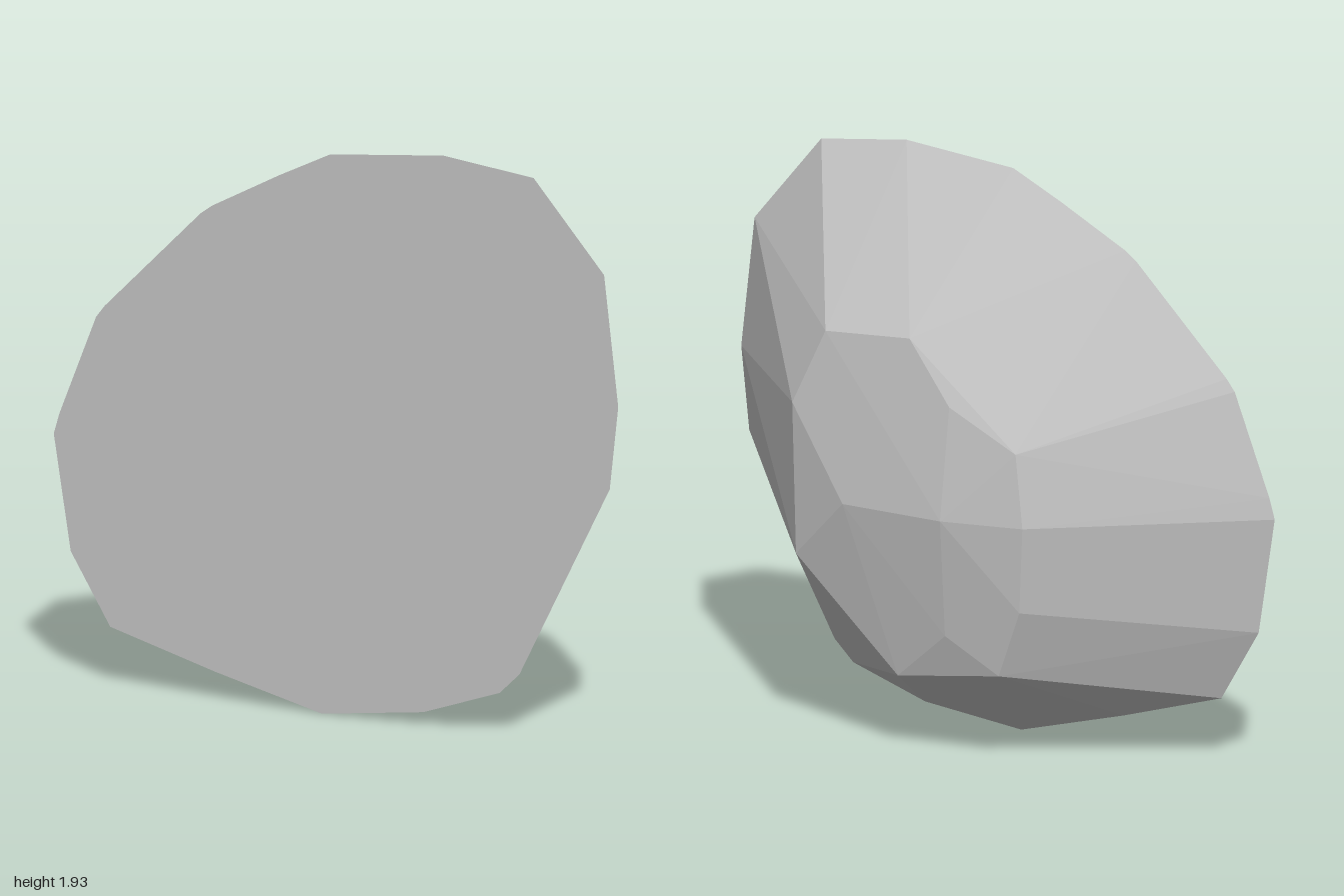
import * as THREE from 'three';
import { ConvexGeometry } from 'three/addons/geometries/ConvexGeometry.js';

const FRONT = 0.265;

// Outline of the flat front face (x, y)
const rim = [
  [-1, 0.84], [-0.98, 0.91], [-0.85, 1.25], [-0.82, 1.29], [-0.48, 1.64],
  [-0.44, 1.67], [-0.2, 1.8], [-0.02, 1.89], [0.38, 1.93], [0.7, 1.89],
  [0.95, 1.59], [1, 1.15], [0.97, 0.87], [0.65, 0.21], [0.58, 0.14],
  [0.31, 0.045], [-0.05, 0], [-0.43, 0.1], [-0.8, 0.21], [-0.94, 0.45],
];

// Corners of the domed back (x, y, z)
const back = [
  [0.44, 1.38, -0.16], [0.12, 1.4, -0.168], [-0.05, 1.2, -0.205],
  [-0.29, 1.07, -0.19], [-0.33, 0.83, -0.215], [-0.31, 0.54, -0.2],
  [-0.22, 0.31, -0.178], [-0.04, 0.43, -0.215], [0.16, 0.26, -0.175],
  [0.54, 0.62, -0.178], [0.55, 1.13, -0.185], [0.33, 0.83, -0.24],
  [-0.05, 0.83, -0.265],
];

export function createModel() {
  const group = new THREE.Group();
  group.name = 'rock';

  const stone = new THREE.MeshStandardMaterial({ color: 0xc0c0c0 });
  stone.name = 'grey stone';

  // Faceted boulder: the hull of the flat rim and the domed back
  const points = [
    ...rim.map(([x, y]) => new THREE.Vector3(x, y, FRONT)),
    ...back.map((p) => new THREE.Vector3(...p)),
  ];
  const boulder = new THREE.Mesh(new ConvexGeometry(points), stone);
  boulder.name = 'boulder';
  group.add(boulder);

  return group;
}
